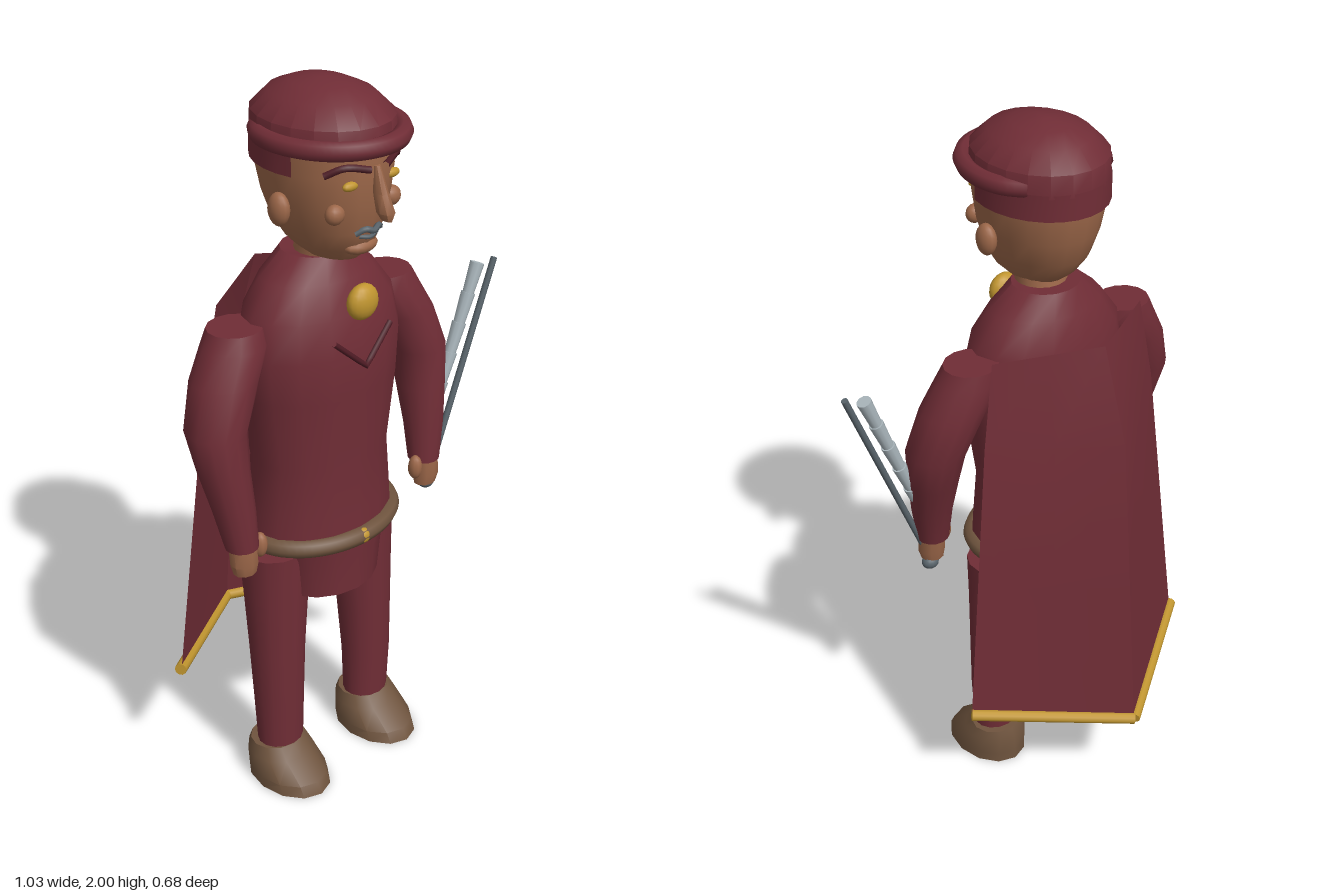
import * as THREE from 'three';
import { toCreasedNormals } from 'three/addons/utils/BufferGeometryUtils.js';

const paint = (name, color, extra = {}) => {
  const m = new THREE.MeshStandardMaterial({ color, ...extra });
  m.name = name;
  return m;
};

// Surface through rows of points; optional end caps for closed rings
function grid(rows, capped = false) {
  const n = rows[0].length, pos = rows.flat(2), idx = [];
  for (let i = 0; i < rows.length - 1; i++) {
    for (let j = 0; j < n - 1; j++) {
      const a = i * n + j, d = a + n;
      idx.push(a, a + 1, d + 1, a, d + 1, d);
    }
  }
  if (capped) {
    const top = (rows.length - 1) * n;
    for (let j = 1; j < n - 2; j++) {
      idx.push(0, j + 1, j, top, top + j, top + j + 1);
    }
  }
  const g = new THREE.BufferGeometry();
  g.setAttribute('position', new THREE.Float32BufferAttribute(pos, 3));
  g.setIndex(idx);
  return toCreasedNormals(g, 0.75);
}

// Horizontal elliptical sections, bottom to top: [y, cx, cz, rx, rz]
function loft(sections, sides = 16, from = 0, to = Math.PI * 2) {
  const full = to - from > 6.28;
  const rows = sections.map(([y, cx, cz, rx, rz]) =>
    Array.from({ length: sides + 1 }, (_, j) => {
      const a = from + (to - from) * j / sides;
      return [cx + rx * Math.sin(a), y, cz + rz * Math.cos(a)];
    }));
  return grid(rows, full);
}

function tube(points, r, closed = false, smooth = true, sides = 8) {
  const v = points.map(p => new THREE.Vector3(...p));
  let curve;
  if (smooth) curve = new THREE.CatmullRomCurve3(v, closed);
  else {
    curve = new THREE.CurvePath();
    for (let i = 1; i < v.length; i++) curve.add(new THREE.LineCurve3(v[i - 1], v[i]));
  }
  return new THREE.TubeGeometry(curve, points.length * 4, r, sides, closed);
}

// Cylinder between two points
function rod(p, q, r0, r1 = r0, sides = 10) {
  const a = new THREE.Vector3(...p), b = new THREE.Vector3(...q);
  const dir = b.clone().sub(a);
  const g = new THREE.CylinderGeometry(r1, r0, dir.length(), sides);
  g.applyQuaternion(new THREE.Quaternion().setFromUnitVectors(new THREE.Vector3(0, 1, 0), dir.normalize()));
  const c = a.add(b).multiplyScalar(0.5);
  return g.translate(c.x, c.y, c.z);
}

const ball = ([x, y, z], [rx, ry, rz], sides = 14) =>
  new THREE.SphereGeometry(1, sides, 10).scale(rx, ry, rz).translate(x, y, z);

export function createModel() {
  const red = paint('dark red cloth', 0x702d36, { side: THREE.DoubleSide });
  const trim = paint('deep red trim', 0x4f1c25);
  const skin = paint('skin', 0x9c6749);
  const brown = paint('brown leather', 0x6f543e);
  const gold = paint('gold', 0xc0952f);
  const steel = paint('light steel', 0xabb7bd);
  const iron = paint('dark steel', 0x59646b);

  const model = new THREE.Group();
  const body = new THREE.Group();
  body.name = 'figure';
  body.position.x = -0.075;
  model.add(body);
  const add = (name, geo, mat, parent = body) => {
    const m = new THREE.Mesh(geo, mat);
    m.name = name;
    parent.add(m);
    return m;
  };

  // Torso and tunic hem
  add('torso', loft([
    [0.76, 0, 0.08, 0.225, 0.165], [0.85, 0, 0.08, 0.22, 0.16], [1.0, 0, 0.08, 0.205, 0.155],
    [1.2, 0, 0.08, 0.235, 0.165], [1.32, 0, 0.08, 0.245, 0.165], [1.42, 0, 0.075, 0.225, 0.15],
    [1.5, 0, 0.07, 0.165, 0.12], [1.56, 0, 0.067, 0.095, 0.088]]), red);
  add('tunicHem', loft([[0.6, 0, 0.095, 0.16, 0.14], [0.7, 0, 0.09, 0.18, 0.145], [0.78, 0, 0.08, 0.215, 0.16]]), red);

  // Belt, buckle, brooch and chest chevron
  const oval = [];
  for (let i = 0; i < 16; i++) {
    const a = i * Math.PI / 8;
    oval.push([0.22 * Math.sin(a), 0.777, 0.08 + 0.165 * Math.cos(a)]);
  }
  add('belt', tube(oval, 0.025, true), brown);
  add('buckle', ball([0, 0.777, 0.25], [0.026, 0.023, 0.02]), gold);
  add('brooch', ball([0, 1.457, 0.238], [0.048, 0.048, 0.03], 18), gold);
  add('chevron', tube([[-0.098, 1.372, 0.24], [0, 1.285, 0.255], [0.098, 1.372, 0.24]], 0.008, false, false, 6), trim);

  // Head and face
  add('neck', loft([[1.52, 0, 0.08, 0.07, 0.07], [1.62, 0, 0.1, 0.07, 0.07]]), skin);
  add('head', loft([
    [1.565, 0, 0.12, 0.06, 0.09], [1.6, 0, 0.115, 0.095, 0.13], [1.65, 0, 0.105, 0.122, 0.158],
    [1.72, 0, 0.1, 0.145, 0.177], [1.8, 0, 0.095, 0.16, 0.188], [1.88, 0, 0.092, 0.162, 0.185]], 20), skin);
  add('nose', loft([
    [1.695, 0, 0.315, 0.008, 0.018], [1.715, 0, 0.312, 0.02, 0.026],
    [1.76, 0, 0.295, 0.016, 0.022], [1.825, 0, 0.278, 0.009, 0.012]], 8), skin);
  add('chin', ball([0, 1.607, 0.228], [0.052, 0.022, 0.03]), skin);
  add('moustache', tube([[-0.042, 1.652, 0.252], [-0.02, 1.664, 0.268], [0, 1.657, 0.273],
    [0.02, 1.664, 0.268], [0.042, 1.652, 0.252]], 0.008, false, true, 6), iron);
  add('lowerLip', tube([[-0.03, 1.643, 0.252], [0, 1.638, 0.262], [0.03, 1.643, 0.252]], 0.006, false, true, 6), iron);

  // Cap: dome, lower back band and a rolled brim tucked into the sides
  add('capDome', loft([
    [1.86, 0, 0.093, 0.168, 0.197], [1.92, 0, 0.092, 0.165, 0.193], [1.965, 0, 0.09, 0.12, 0.145],
    [1.988, 0, 0.087, 0.07, 0.085], [2.0, 0, 0.085, 0.015, 0.02]], 20), red);
  add('capBand', loft([[1.8, 0, 0.093, 0.168, 0.197], [1.87, 0, 0.093, 0.168, 0.197]],
    16, Math.PI * 0.4, Math.PI * 1.6), red);
  const brim = [];
  for (let i = 0; i <= 12; i++) {
    const t = (i / 6 - 1), a = t * 2.25, k = 1 - 0.13 * Math.pow(Math.abs(t), 4);
    brim.push([0.177 * k * Math.sin(a), 1.878, 0.1 + 0.203 * k * Math.cos(a)]);
  }
  add('capBrim', tube(brim, 0.025), red);

  for (const s of [1, -1]) {
    const side = new THREE.Group();
    side.name = s > 0 ? 'leftSide' : 'rightSide';
    body.add(side);

    // Face details
    add('eye', ball([s * 0.069, 1.784, 0.262], [0.025, 0.012, 0.012], 10), gold, side);
    add('brow', tube([[s * 0.122, 1.812, 0.226], [s * 0.085, 1.832, 0.26], [s * 0.025, 1.82, 0.285]], 0.009, false, true, 6), trim, side);
    add('cheek', ball([s * 0.095, 1.712, 0.236], [0.027, 0.026, 0.022]), skin, side);
    add('ear', ball([s * 0.16, 1.708, 0.11], [0.024, 0.043, 0.032]), skin, side);

    // Arm and hand
    add('sleeve', loft([
      [0.845, s * 0.337, 0.15, 0.045, 0.044], [0.95, s * 0.347, 0.135, 0.056, 0.056],
      [1.06, s * 0.357, 0.11, 0.066, 0.072], [1.17, s * 0.36, 0.088, 0.078, 0.085],
      [1.29, s * 0.312, 0.07, 0.09, 0.088], [1.37, s * 0.268, 0.06, 0.092, 0.08],
      [1.412, s * 0.262, 0.055, 0.075, 0.07]], 14), red, side);
    add('hand', loft([[0.77, s * 0.335, 0.158, 0.033, 0.028], [0.8, s * 0.337, 0.158, 0.04, 0.035],
      [0.86, s * 0.337, 0.152, 0.04, 0.036]], 10), skin, side);
    add('thumb', ball([s * 0.288, 0.835, 0.165], [0.02, 0.036, 0.02], 10), skin, side);

    // Leg and shoe
    add('leg', loft([
      [0.08, s * 0.168, 0.1, 0.067, 0.058], [0.25, s * 0.17, 0.098, 0.074, 0.064],
      [0.42, s * 0.167, 0.09, 0.08, 0.074], [0.6, s * 0.16, 0.08, 0.092, 0.085],
      [0.735, s * 0.155, 0.072, 0.104, 0.094]], 14), red, side);
    add('shoe', loft([
      [0, s * 0.172, 0.14, 0.1, 0.135], [0.03, s * 0.172, 0.132, 0.1, 0.126],
      [0.08, s * 0.172, 0.1, 0.092, 0.092], [0.112, s * 0.172, 0.09, 0.08, 0.07]], 12), brown, side);

    // Cape half: straight from the back ridge out to the side edge
    const rows = [
      [[0, 0.29, -0.325], [0.385, 0.36, -0.065]],
      [[0, 0.75, -0.288], [0.34, 0.78, -0.05]],
      [[0, 1.2, -0.25], [0.295, 1.2, -0.035]],
      [[0, 1.46, -0.165], [0.255, 1.44, -0.022]]
    ].map(([a, b]) => {
      const pts = [0, 0.5, 1].map(t => a.map((v, k) => (v + (b[k] - v) * t) * (k ? 1 : s)));
      return s > 0 ? pts.reverse() : pts;
    });
    add('capePanel', grid(rows), red, side);
    add('capeTrim', rod([0, 0.295, -0.326], [s * 0.387, 0.357, -0.067], 0.017), gold, side);
  }

  // Jointed baton held in the left hand
  const baton = new THREE.Group();
  baton.name = 'baton';
  model.add(baton);
  add('batonRod', rod([0.27, 0.77, 0.16], [0.508, 1.38, 0.16], 0.009), iron, baton);
  add('batonPommel', ball([0.275, 0.76, 0.15], [0.025, 0.02, 0.022]), iron, baton);
  const at = t => [0.305 + 0.16 * t, 0.97 + 0.4 * t, 0.138];
  for (let i = 0; i < 5; i++) {
    add('batonSegment', rod(at(i / 5), at((i + 1) / 5), 0.016, 0.02), steel, baton);
  }
  return model;
}
